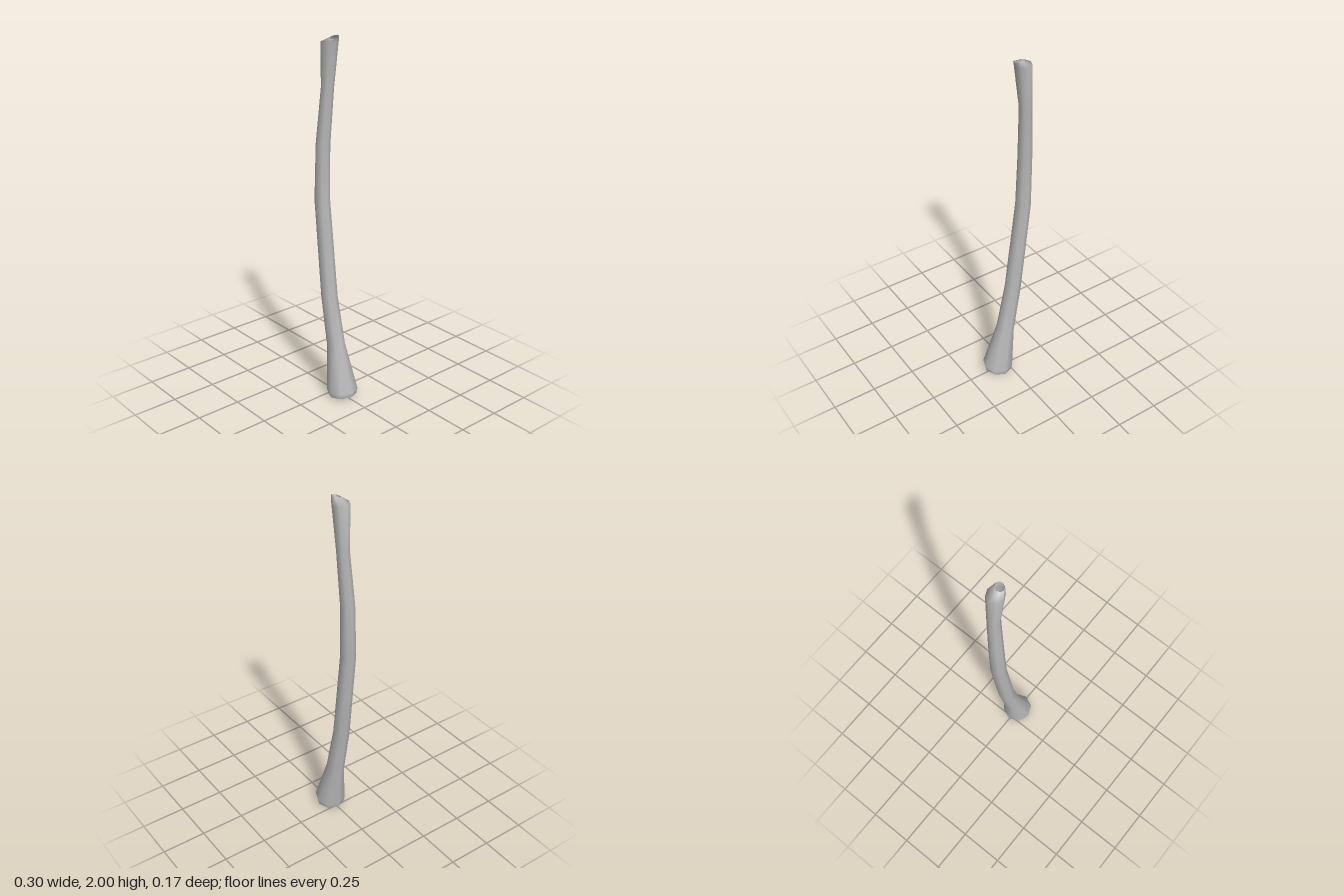
import * as THREE from 'three';

const SIDES = 8;

// Cross-sections from base to tip: centre x, y, z, radius, rise along x, rise along z
const RINGS = [
  [0.062, 0.008, 0, 0.079, 0.1, 0],
  [0.062, 0.038, 0, 0.086, 0.1, 0],
  [0.008, 0.295, 0, 0.05, 0.25, 0],
  [-0.045, 0.575, 0.003, 0.045, 0.15, 0],
  [-0.106, 1.12, 0, 0.042, 0.07, 0],
  [-0.108, 1.42, -0.008, 0.0385, -0.03, 0.05],
  [-0.094, 1.725, -0.028, 0.034, -0.06, 0.05],
  [-0.076, 1.966, -0.028, 0.046, 0, 0],
  [-0.042, 1.992, -0.031, 0.024, 0, -0.33],
];

// Open tube skinned over the octagonal cross-sections
function skin(rings) {
  const pos = [], idx = [];
  for (const [cx, cy, cz, r, sx, sz] of rings) {
    for (let i = 0; i < SIDES; i++) {
      const a = (i / SIDES) * Math.PI * 2;
      const dx = Math.cos(a) * r, dz = Math.sin(a) * r;
      pos.push(cx + dx, cy + dx * sx + dz * sz, cz + dz);
    }
  }
  for (let k = 0; k < rings.length - 1; k++) {
    for (let i = 0; i < SIDES; i++) {
      const a = k * SIDES + i, b = k * SIDES + ((i + 1) % SIDES);
      idx.push(a, a + SIDES, b, b, a + SIDES, b + SIDES);
    }
  }
  const g = new THREE.BufferGeometry();
  g.setAttribute('position', new THREE.Float32BufferAttribute(pos, 3));
  g.setIndex(idx);
  g.computeVertexNormals();
  return g;
}

export function createModel() {
  const group = new THREE.Group();
  group.name = 'curvedShaft';
  const grey = new THREE.MeshStandardMaterial({ color: 0xb8b8b8, side: THREE.DoubleSide });
  grey.name = 'plain grey';

  // Curved hollow shaft, flared at the base and at the bevelled tip
  const shaft = new THREE.Mesh(skin(RINGS), grey);
  shaft.name = 'shaft';
  group.add(shaft);
  return group;
}
